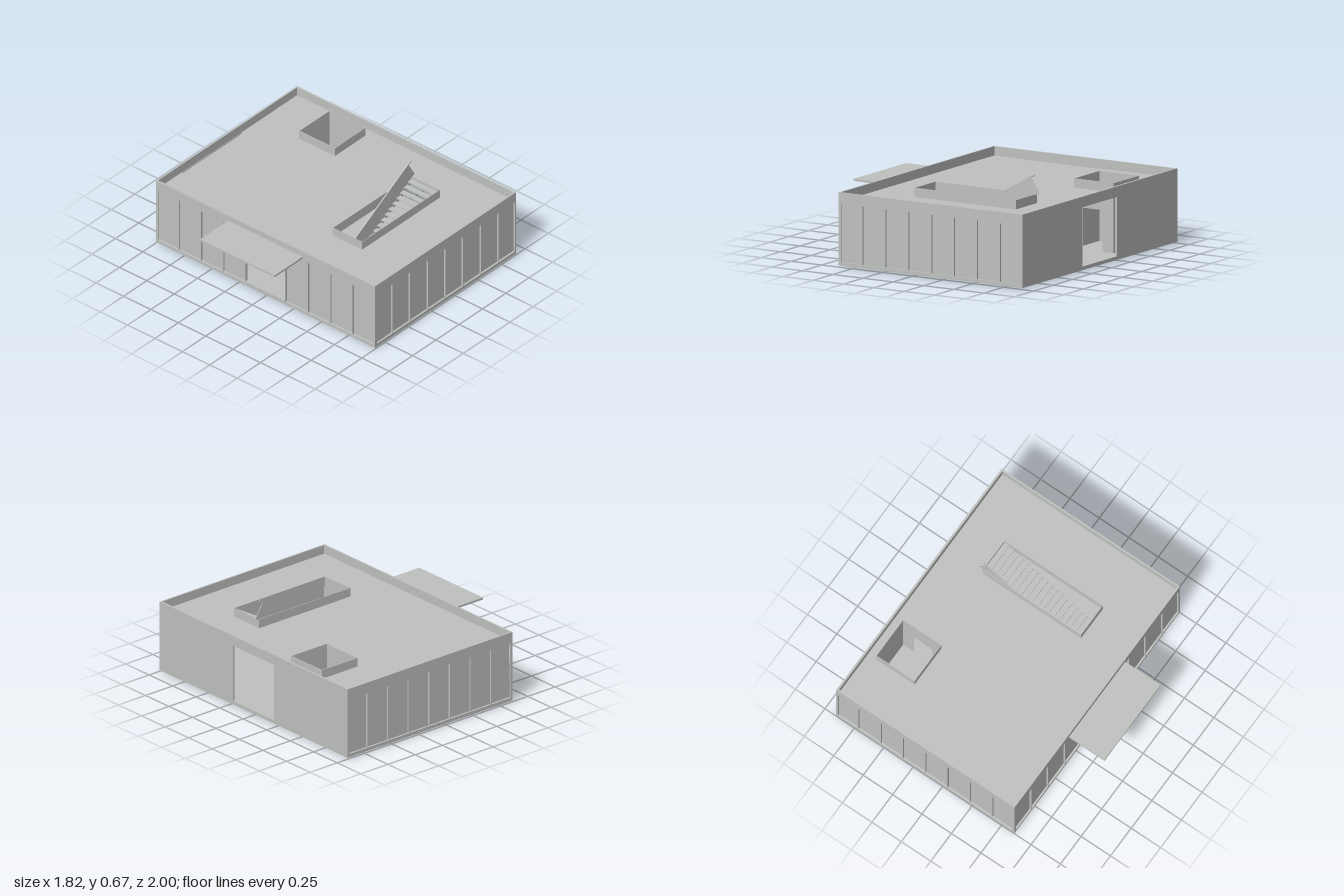
import * as THREE from 'three';

export function createModel() {
  const model = new THREE.Group();
  const grey = new THREE.MeshStandardMaterial({ color: 0xc0c2c0 });
  grey.name = 'light grey';

  const add = (name, geometry) => {
    const mesh = new THREE.Mesh(geometry, grey);
    mesh.name = name;
    model.add(mesh);
    return mesh;
  };
  // Box given by its limits on each axis
  const box = (name, x0, x1, y0, y1, z0, z1) => {
    const g = new THREE.BoxGeometry(x1 - x0, y1 - y0, z1 - z0);
    g.translate((x0 + x1) / 2, (y0 + y1) / 2, (z0 + z1) / 2);
    return add(name, g);
  };
  const L = -0.61, R = 0.905, BASE = 0.01, FLOOR = 0.035, DECK = 0.465, TOP = 0.53;
  const HEAD = 0.455, SKIN = 0.012;

  // Floor slab
  box('floorSlab', L, R, BASE, FLOOR, -1, 1);

  // Roof deck with openings for the stair, the shaft and a drain slot
  const rect = (path, x0, x1, z0, z1) => {
    path.moveTo(x0, -z0);
    path.lineTo(x1, -z0);
    path.lineTo(x1, -z1);
    path.lineTo(x0, -z1);
    path.closePath();
    return path;
  };
  const deck = rect(new THREE.Shape(), L + 0.005, R - 0.005, -0.995, 0.995);
  const stair = [-0.25, 0.58, 0.315, 0.575];
  const shaft = [0.5, 0.82, -0.63, -0.31];
  deck.holes.push(
    rect(new THREE.Path(), ...stair),
    rect(new THREE.Path(), ...shaft),
    rect(new THREE.Path(), -0.35, 0.285, -0.985, -0.972),
  );
  const deckGeometry = new THREE.ExtrudeGeometry(deck, { depth: DECK - HEAD, bevelEnabled: false });
  deckGeometry.rotateX(-Math.PI / 2).translate(0, HEAD, 0);
  add('roofDeck', deckGeometry);

  // Parapet band, standing proud of the glazing
  for (const s of [-1, 1]) {
    const z0 = s > 0 ? 1 - SKIN : -1;
    box('parapet', L, R, HEAD - 0.005, TOP, z0, z0 + SKIN);
  }
  box('parapet', L, L + SKIN, HEAD, TOP, -1 + SKIN, 1 - SKIN);

  // Solid side wall with a wide doorway
  const W = R - 0.015;
  box('sideWall', W, R, BASE, TOP, 0.22, 1);
  box('sideWall', W, R, BASE, TOP, -1, -0.22);
  box('sideWallLintel', W, R, HEAD, TOP, -0.22, 0.22);
  box('sideWallSill', W, R, BASE, FLOOR, -0.22, 0.22);

  // Front and back panels between thin fins
  for (const s of [-1, 1]) {
    const c = s * 0.983;
    box('wallPanels', L + 0.015, W, FLOOR, HEAD, c - 0.003, c + 0.003);
    for (let i = 0; i <= 7; i++) {
      const x = L + 0.003 + i * (R - L) / 8;
      box('wallFin', x - 0.003, x + 0.003, FLOOR, HEAD, s * 0.99 - 0.009, s * 0.99 + 0.009);
    }
  }

  // Entrance side: panels and fins on both sides of the door
  for (const s of [-1, 1]) {
    const z = [s * 0.18, s * 0.985].sort((a, b) => a - b);
    box('entrancePanels', L + 0.014, L + 0.02, FLOOR, HEAD, z[0], z[1]);
    for (let i = 0; i <= 4; i++) {
      const c = s * (0.183 + i * 0.2035);
      box('entranceFin', L, L + 0.02, FLOOR, HEAD, c - 0.003, c + 0.003);
    }
  }
  box('doorTransom', L - 0.004, L + 0.02, 0.355, 0.37, -0.18, 0.18);
  box('doorSill', L - 0.004, L + 0.02, FLOOR, 0.045, -0.18, 0.18);
  box('canopy', -0.91, L, 0.47, 0.485, -0.34, 0.34);

  // Thin curb around an opening
  const T = 0.004;
  const curb = (name, [x0, x1, z0, z1], y0) => {
    box(name, x0 - T, x1 + T, y0, TOP, z0 - T, z0);
    box(name, x0 - T, x1 + T, y0, TOP, z1, z1 + T);
    box(name, x0 - T, x0, y0, TOP, z0, z1);
    box(name, x1, x1 + T, y0, TOP, z0, z1);
  };
  curb('stairCurb', stair, HEAD);
  curb('shaftCurb', shaft, HEAD);

  // Lift shaft below the roof with a doorway facing the front
  const [sx0, sx1, sz0, sz1] = shaft;
  box('shaftWall', sx0 - T, sx0, FLOOR, HEAD, sz0, sz1);
  box('shaftWall', sx1, sx1 + T, FLOOR, HEAD, sz0, sz1);
  box('shaftWall', sx0 - T, sx1 + T, FLOOR, HEAD, sz0 - T, sz0);
  box('shaftWall', sx0 - T, 0.57, FLOOR, HEAD, sz1, sz1 + T);
  box('shaftWall', 0.73, sx1 + T, FLOOR, HEAD, sz1, sz1 + T);
  box('shaftLintel', 0.57, 0.73, 0.33, HEAD, sz1, sz1 + T);

  // Open stair
  const slope = 0.577, steps = 20, run = 0.83 / steps;
  for (let i = 0; i < steps; i++) {
    const x = -0.25 + i * run;
    const y = FLOOR + 0.01 + i * run * slope;
    box('stairTread', x, x + run, y, y + 0.007, 0.32, 0.57);
  }

  // Sloping plates: outline in x and y, thin in z
  const plate = (name, points, z, depth) => {
    const shape = new THREE.Shape(points.map(([x, y]) => new THREE.Vector2(x, y)));
    const g = new THREE.ExtrudeGeometry(shape, { depth, bevelEnabled: false });
    g.translate(0, 0, z - depth / 2);
    return add(name, g);
  };
  for (const z of [0.321, 0.571]) {
    plate('stairStringer', [[-0.24, 0], [0.58, 0.473], [0.58, 0.515], [-0.25, 0.036]], z, 0.006);
  }
  // Balustrade panel and its handrail
  plate('balustrade', [[-0.2, 0.04], [0.61, 0.54], [0.545, 0.645], [-0.265, 0.178]], 0.321, 0.005);
  plate('handrail', [[-0.265, 0.176], [0.575, 0.661], [0.57, 0.67], [-0.27, 0.185]], 0.321, 0.008);

  return model;
}
